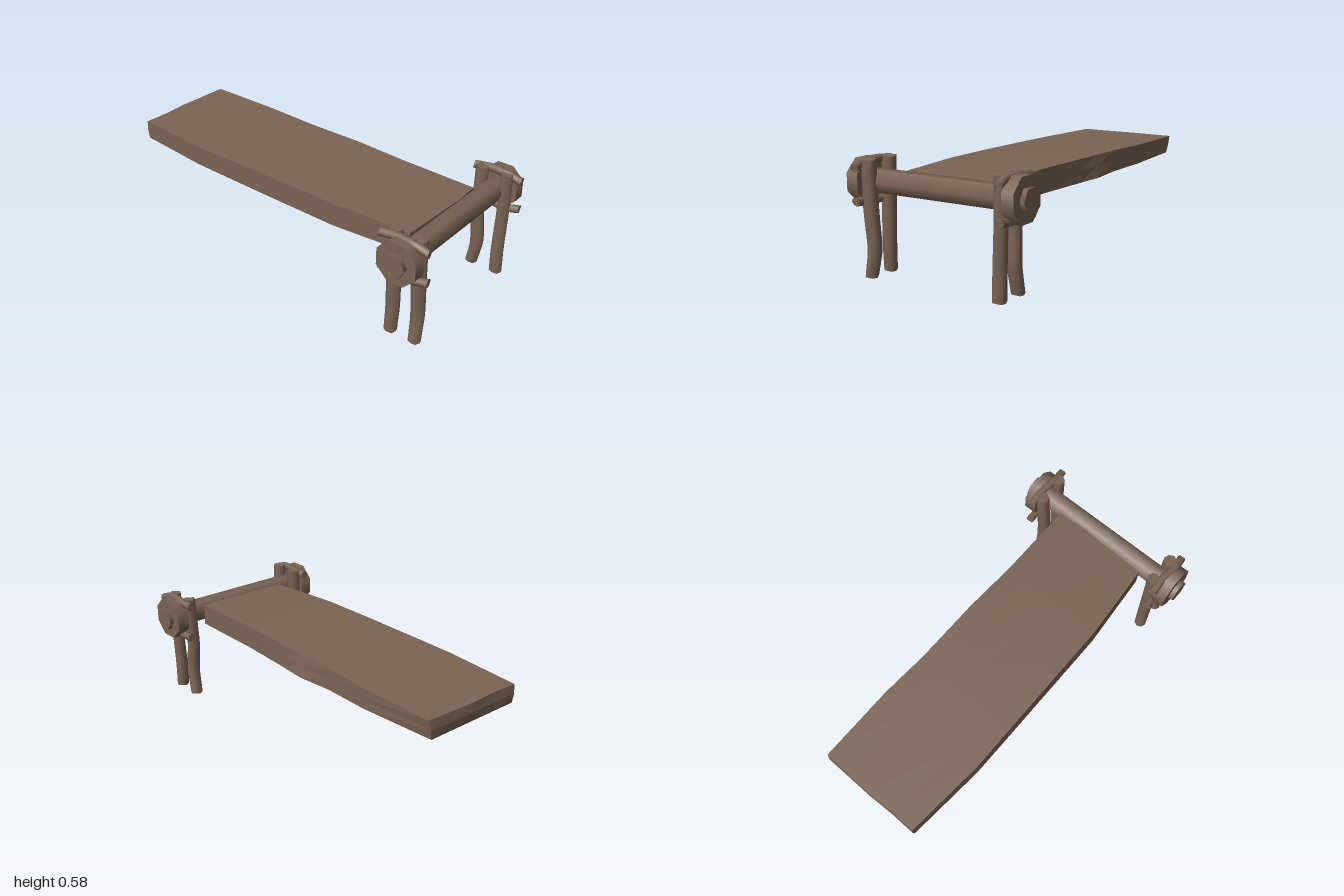
import * as THREE from 'three';

const wood = new THREE.MeshStandardMaterial({ color: 0x7a6454, roughness: 0.9 });
const woodFlat = wood.clone();
woodFlat.flatShading = true;

// Linear interpolation through a short list of [position, ...values], sorted by position
function sample(rows, t, k) {
  if (t <= rows[0][0]) return rows[0][k];
  for (let i = 1; i < rows.length; i++) {
    const a = rows[i - 1], b = rows[i];
    if (t <= b[0]) return a[k] + (b[k] - a[k]) * (t - a[0]) / (b[0] - a[0]);
  }
  return rows[rows.length - 1][k];
}

// Move every vertex of a geometry by a rule
function reshape(geometry, rule) {
  const p = geometry.attributes.position, v = new THREE.Vector3();
  for (let i = 0; i < p.count; i++) {
    rule(v.fromBufferAttribute(p, i));
    p.setXYZ(i, v.x, v.y, v.z);
  }
  return geometry;
}

function add(group, name, geometry, material = wood) {
  const mesh = new THREE.Mesh(geometry, material);
  mesh.name = name;
  group.add(mesh);
  return mesh;
}

// Crooked branch running up y; path rows are [y, x, z, radius]
function branch(path) {
  const y0 = path[0][0], y1 = path[path.length - 1][0];
  const g = new THREE.CylinderGeometry(1, 1, y1 - y0, 8, 10).translate(0, (y0 + y1) / 2, 0);
  reshape(g, v => {
    const y = v.y, r = sample(path, y, 3);
    // slightly uneven cut at the two ends
    if (y > y1 - 1e-4 || y < y0 + 1e-4) v.y += 0.004 * Math.sin(v.x * 4 + v.z * 3);
    v.x = sample(path, y, 1) + v.x * r;
    v.z = sample(path, y, 2) + v.z * r;
  });
  g.computeVertexNormals();
  return g;
}

// Worn plank: a subdivided box with wavy edges
function plankGeometry() {
  // [z, left edge x, right edge x, extra lower right width, top y, bottom y]
  const outline = [
    [-1, -0.27, 0.3, -0.02, 0.498, 0.397],
    [-0.56, -0.305, 0.3, 0, 0.5, 0.394],
    [-0.3, -0.305, 0.283, 0.004, 0.504, 0.39],
    [-0.1, -0.305, 0.281, 0.021, 0.506, 0.388],
    [0.07, -0.305, 0.28, 0.006, 0.508, 0.387],
    [0.37, -0.305, 0.265, 0, 0.508, 0.386],
    [0.8, -0.272, 0.265, 0, 0.503, 0.392],
  ];
  const g = new THREE.BoxGeometry(1, 1, 1, 4, 2, outline.length - 1);
  reshape(g, v => {
    const row = Math.round((v.z + 0.5) * (outline.length - 1));
    const [z, xl, xr, low, top, bottom] = outline[row];
    const u = v.x + 0.5, h = v.y + 0.5, col = Math.round(u * 4);
    v.x = xl + (xr + low * (1 - h) - xl) * u;
    v.y = bottom + (top - bottom) * h;
    v.z = z;
    // wavy, slightly rounded ends
    if (row === 0) v.z += [0.005, 0.012, 0.004, 0.01, 0.015][col] * h + (h === 0 ? 0.012 : 0);
    if (row === outline.length - 1) v.z += [-0.008, 0, 0.002, 0.008, 0][col];
  });
  g.computeVertexNormals();
  return g;
}

export function createModel() {
  const model = new THREE.Group();
  model.name = 'drawbridge';
  const Y = 0.464, Z = 0.855;

  add(model, 'plank', plankGeometry(), woodFlat);

  // Roller bar with six sides and a corner on top
  const axle = new THREE.CylinderGeometry(0.062, 0.062, 0.99, 6, 1).rotateZ(Math.PI / 2);
  add(model, 'axle', axle).position.set(0, Y, Z);

  // Octagonal drums outside the posts
  for (const [side, label] of [[1, 'left'], [-1, 'right']]) {
    const drum = new THREE.CylinderGeometry(0.115, 0.115, 0.065, 8);
    drum.rotateY(Math.PI / 8).rotateZ(Math.PI / 2);
    add(model, label + 'Drum', drum).position.set(side * 0.438, Y, Z);
  }

  // Four crooked posts
  const posts = {
    leftFrontPost: [[0.005, 0.365, 0.918, 0.034], [0.14, 0.366, 0.915, 0.034],
      [0.35, 0.375, 0.917, 0.033], [0.575, 0.377, 0.916, 0.032]],
    leftBackPost: [[0.005, 0.367, 0.772, 0.033], [0.14, 0.364, 0.798, 0.036],
      [0.3, 0.358, 0.784, 0.035], [0.575, 0.375, 0.778, 0.034]],
    rightFrontPost: [[0.005, -0.373, 0.918, 0.032], [0.14, -0.35, 0.914, 0.035],
      [0.33, -0.366, 0.916, 0.037], [0.575, -0.371, 0.916, 0.036]],
    rightBackPost: [[0.005, -0.374, 0.78, 0.033], [0.14, -0.371, 0.786, 0.035],
      [0.33, -0.37, 0.782, 0.036], [0.575, -0.366, 0.778, 0.035]],
  };
  for (const [name, path] of Object.entries(posts)) add(model, name, branch(path));

  // Thin cross pegs running front to back above and below the drums
  const pegs = [
    ['leftUpperPeg', 0.403, 0.55], ['leftLowerPeg', 0.41, 0.373],
    ['rightUpperPeg', -0.405, 0.55], ['rightLowerPeg', -0.4, 0.373],
  ];
  for (const [name, x, y] of pegs) {
    const bow = y > Y ? 0.012 : -0.006;
    const path = [[-0.135, 0, 0, 0.022], [-0.04, 0.006, -bow, 0.021],
      [0.06, -0.006, -bow, 0.021], [0.13, 0.004, bow, 0.022]];
    add(model, name, branch(path).rotateX(Math.PI / 2)).position.set(x, y, Z);
  }
  return model;
}
